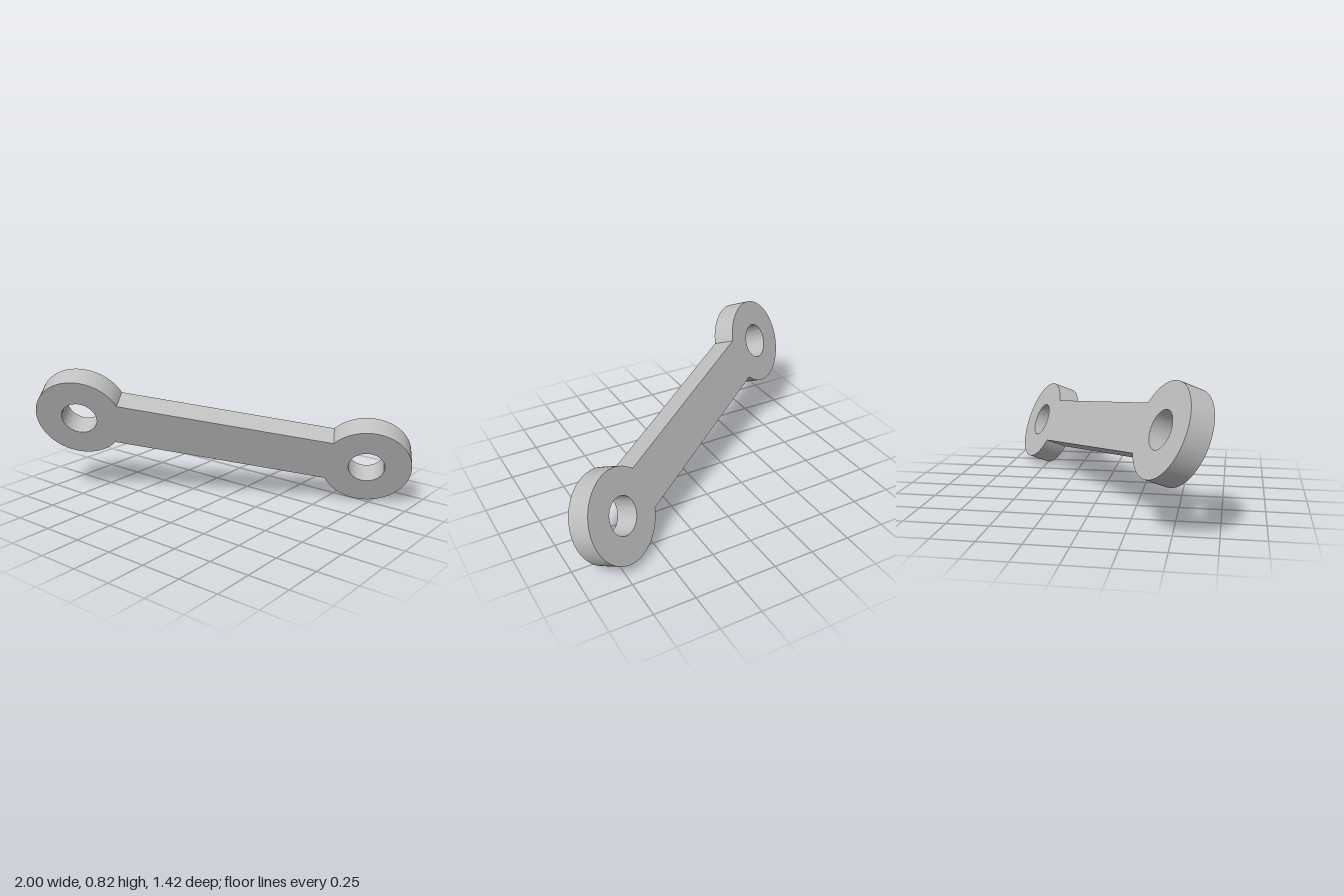
import * as THREE from 'three';
import { toCreasedNormals } from 'three/addons/utils/BufferGeometryUtils.js';

const SPAN = 1.775;      // distance between the two eye centres
const EYE_R = 0.27;
const HOLE_R = 0.11;
const HALF_WIDTH = 0.143; // half width of the bar
const THICKNESS = 0.143;

export function createModel() {
  const group = new THREE.Group();
  group.name = 'connectingLink';

  const steel = new THREE.MeshStandardMaterial({ color: 0xc0c0c0 });
  steel.name = 'light grey steel';

  // Outline: two round eyes joined by a straight bar
  const t = Math.asin(HALF_WIDTH / EYE_R);
  const shape = new THREE.Shape();
  shape.absarc(SPAN / 2, 0, EYE_R, -Math.PI + t, Math.PI - t, false);
  shape.absarc(-SPAN / 2, 0, EYE_R, t, 2 * Math.PI - t, false);
  shape.closePath();

  // Pin holes
  for (const side of [-1, 1]) {
    const hole = new THREE.Path();
    hole.absarc(side * SPAN / 2, 0, HOLE_R, 0, Math.PI * 2, true);
    shape.holes.push(hole);
  }

  const geometry = new THREE.ExtrudeGeometry(shape, {
    depth: THICKNESS, bevelEnabled: false, curveSegments: 48,
  });
  geometry.translate(0, 0, -THICKNESS / 2);

  const link = new THREE.Mesh(toCreasedNormals(geometry, Math.PI / 6), steel);
  link.name = 'linkArm';

  // Tilt the plate: local x runs along the bar, local z is the plate normal
  const along = new THREE.Vector3(1.455, -0.27, -0.975).normalize();
  const normal = new THREE.Vector3(0.455, -0.385, 0.8);
  normal.addScaledVector(along, -normal.dot(along)).normalize();
  const across = new THREE.Vector3().crossVectors(normal, along);
  link.quaternion.setFromRotationMatrix(new THREE.Matrix4().makeBasis(along, across, normal));
  link.position.y = 0.41;

  group.add(link);
  return group;
}
